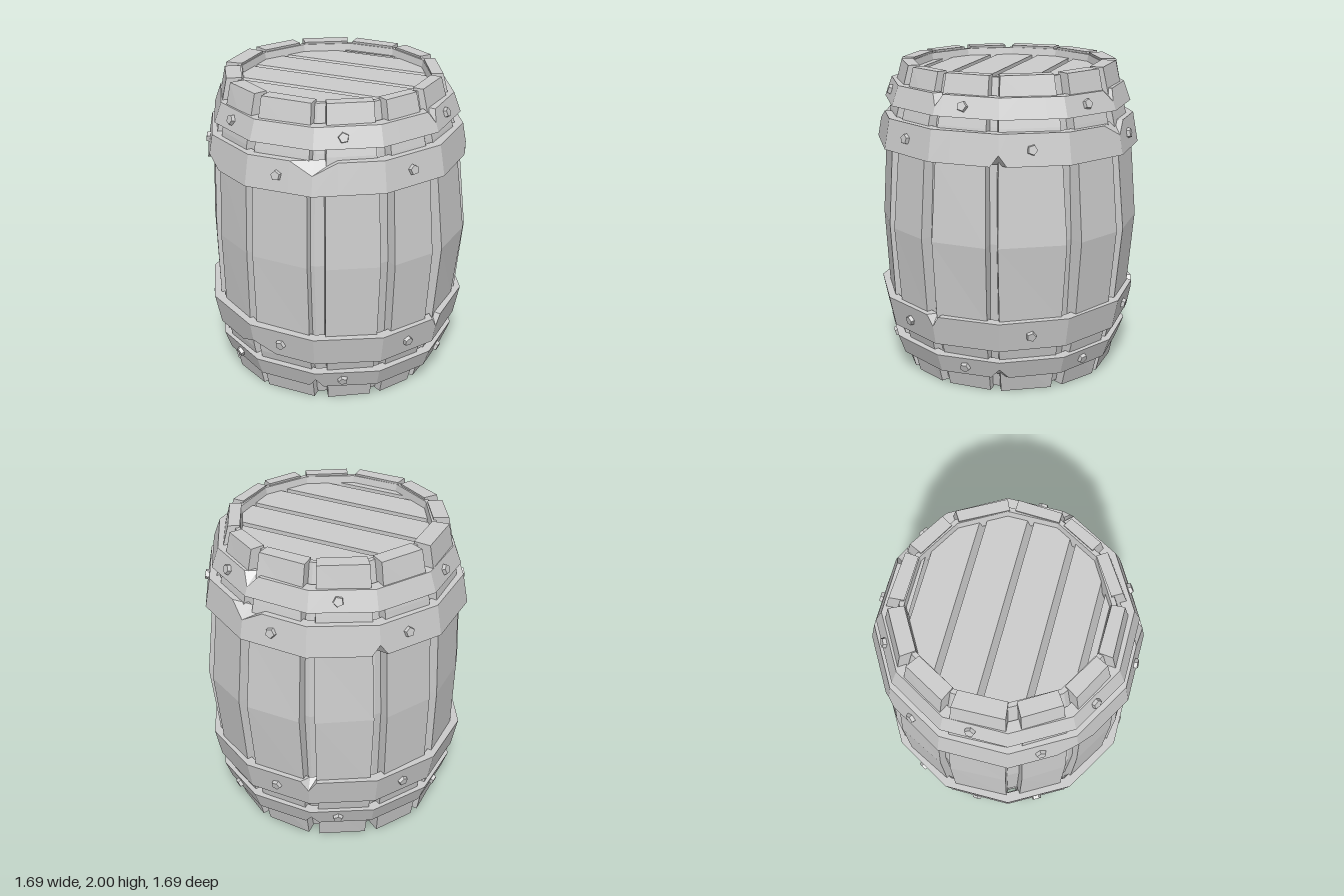
import * as THREE from 'three';

const wood = new THREE.MeshStandardMaterial({ color: 0xcccccc });
wood.name = 'pale grey';

// Seeded random in -1..1
let seed = 7;
const rnd = () => {
  seed = (seed * 16807) % 2147483647;
  return (seed / 2147483647) * 2 - 1;
};

const polar = (deg, r, y) => {
  const a = THREE.MathUtils.degToRad(deg);
  return new THREE.Vector3(Math.sin(a) * r, y, Math.cos(a) * r);
};

// Flat-faceted copy of a geometry
function facet(g) {
  const f = g.index ? g.toNonIndexed() : g;
  f.computeVertexNormals();
  return f;
}

function addMesh(parent, name, geometry) {
  const m = new THREE.Mesh(facet(geometry), wood);
  m.name = name;
  parent.add(m);
}

// Skin closed four-point sections, either into a ring or with capped ends
function loft(sections, ring) {
  const pos = [];
  const tri = (...p) => p.forEach((v) => pos.push(v.x, v.y, v.z));
  const n = sections.length;
  for (let k = 0; k < (ring ? n : n - 1); k++) {
    const A = sections[k], B = sections[(k + 1) % n];
    for (let j = 0; j < 4; j++) {
      const i = (j + 1) % 4;
      tri(A[j], B[j], B[i]);
      tri(A[j], B[i], A[i]);
    }
  }
  if (!ring) {
    const s = sections[0], e = sections[n - 1];
    tri(s[0], s[1], s[2]); tri(s[0], s[2], s[3]);
    tri(e[2], e[1], e[0]); tri(e[3], e[2], e[0]);
  }
  const g = new THREE.BufferGeometry();
  g.setAttribute('position', new THREE.Float32BufferAttribute(pos, 3));
  return g;
}

// Edges of the twelve uneven grooves, in degrees round from the front
const grooves = [[-4, 0], [27.5, 35], [58.5, 65], [85, 90.5], [114.5, 120], [148, 155],
  [177, 182], [207, 213], [238, 244], [268, 273], [299, 306], [327, 333.5]];

// One curved stave between two grooves; the barrel bulges most at the back and left
function staveGeometry(a0, a1) {
  // height, radius, and how far the radius leans with x and with z
  const profile = [[0, 0.685, -0.018, 0], [0.3, 0.755, -0.005, 0], [0.5, 0.792, 0, -0.008], [1, 0.825, 0.012, -0.022],
    [1.5, 0.792, 0, -0.008], [1.7, 0.755, -0.005, 0], [2, 0.685, -0.018, 0]];
  return loft(profile.map(([y, r, dx, dz]) => {
    const outer = (deg) => {
      const d = polar(deg, 1, 0);
      return polar(deg, r + dx * d.x + dz * d.z + rnd() * 0.005, y);
    };
    const l = a0 + rnd() * 0.4, q = a1 + rnd() * 0.4;
    return [outer(q), outer(l), polar(l - 1.2, r - 0.085, y), polar(q + 1.2, r - 0.085, y)];
  }), false);
}

// Twelve-sided hoop; chips map a corner number to [edge, share of the side it takes]
function hoopGeometry({ y0, r0, y1, r1, tilt, chips }) {
  const corner = (k) => {
    const d = k * 30;
    const c = [polar(d, r0, y0), polar(d, r1, y1), polar(d, r1 - 0.07, y1), polar(d, r0 - 0.07, y0)];
    c.forEach((p) => { p.y += tilt * p.x; });
    return c;
  };
  const sections = [];
  for (let k = 0; k < 12; k++) {
    const a = corner(k), b = corner(k + 1);
    const chip = chips[k], next = chips[(k + 1) % 12];
    const first = corner(k);
    if (chip) {
      const low = chip[0] === 'bottom' ? 0 : 1;
      first[low].lerp(a[1 - low], 0.07 / (y1 - y0));
    }
    sections.push(first);
    for (const t of [chip ? chip[1] : 0.3, 1 - (next ? next[1] : 0.3)]) {
      sections.push(a.map((p, i) => p.clone().lerp(b[i], t)));
    }
  }
  return loft(sections, true);
}

// One head plank, cut to the round, with a sloping long edge
function plankGeometry(v0, v1) {
  const R = 0.62, N = 6, pts = [];
  const half = (v) => Math.sqrt(Math.max(R * R - v * v, 0.0004));
  for (let i = 0; i <= N; i++) {
    const v = v0 + ((v1 - v0) * i) / N;
    pts.push(new THREE.Vector2(half(v), v));
  }
  for (let i = N; i >= 0; i--) pts.push(new THREE.Vector2(-pts[i].x, pts[i].y));
  const g = new THREE.ExtrudeGeometry(new THREE.Shape(pts), { depth: 0.09, bevelEnabled: false });
  const p = g.attributes.position;
  for (let i = 0; i < p.count; i++) {
    if (p.getZ(i) > 0.05 && Math.abs(p.getY(i) - v0) < 1e-4) p.setY(i, v0 + 0.04);
  }
  return g.rotateX(-Math.PI / 2);
}

export function createModel() {
  const model = new THREE.Group();
  model.name = 'barrel';

  // Inner shell that forms the floor of the grooves
  const shell = [[0.585, 0.1], [0.6, 0.015], [0.63, 0.015], [0.7, 0.3], [0.738, 0.5], [0.77, 1],
    [0.738, 1.5], [0.7, 1.7], [0.63, 1.985], [0.6, 1.985], [0.585, 1.9]];
  addMesh(model, 'innerShell', new THREE.LatheGeometry(shell.map(([r, y]) => new THREE.Vector2(r, y)), 12));

  // Staves
  const staves = new THREE.Group();
  staves.name = 'staves';
  grooves.forEach(([, start], k) => {
    const end = k < 11 ? grooves[k + 1][0] : grooves[0][0] + 360;
    addMesh(staves, 'stave', staveGeometry(start, end));
  });
  model.add(staves);

  // Planked heads at both ends
  const cuts = [-0.61, -0.53, -0.285, -0.01, 0.265, 0.53, 0.61];
  for (const top of [true, false]) {
    const head = new THREE.Group();
    head.name = top ? 'topHead' : 'bottomHead';
    for (let i = 0; i < cuts.length - 1; i++) {
      const g = plankGeometry(cuts[i], cuts[i + 1]).translate(0, 0.85, 0);
      if (!top) g.rotateX(Math.PI);
      addMesh(head, 'headPlank', g.rotateY(Math.PI / 12));
    }
    head.position.y = 1;
    model.add(head);
  }

  // Slightly crooked hoops with their rivets
  const hoops = [
    { name: 'lowerEndHoop', y0: 0.125, r0: 0.745, y1: 0.25, r1: 0.79, start: 43, tilt: -0.01,
      chips: { 1: ['bottom', 0.12], 4: ['bottom', 0.15], 7: ['bottom', 0.12] } },
    { name: 'lowerWideHoop', y0: 0.335, r0: 0.805, y1: 0.53, r1: 0.845, start: 14, tilt: -0.015,
      chips: { 0: ['bottom', 0.35], 3: ['top', 0.1], 7: ['top', 0.12] } },
    { name: 'upperWideHoop', y0: 1.48, r0: 0.845, y1: 1.672, r1: 0.81, start: 14, tilt: 0.018,
      chips: { 1: ['top', 0.35], 4: ['bottom', 0.12], 6: ['top', 0.3], 8: ['bottom', 0.12], 11: ['bottom', 0.3] } },
    { name: 'upperEndHoop', y0: 1.748, r0: 0.79, y1: 1.872, r1: 0.745, start: 43, tilt: 0.018,
      chips: { 3: ['top', 0.1], 6: ['top', 0.15] } },
  ];
  for (const h of hoops) {
    const hoop = new THREE.Group();
    hoop.name = h.name;
    addMesh(hoop, 'band', hoopGeometry(h));
    const reach = ((h.r0 + h.r1) / 2) * Math.cos(Math.PI / 12);
    const lean = Math.atan2(h.r1 - h.r0, h.y1 - h.y0);
    for (let k = 0; k < 6; k++) {
      const deg = h.start + k * 60;
      const y = (h.y0 + h.y1) / 2 + h.tilt * polar(deg, reach, 0).x;
      const g = new THREE.CylinderGeometry(0.03, 0.038, 0.045, 5)
        .rotateX(Math.PI / 2).rotateZ(rnd()).rotateX(lean)
        .translate(0, y, reach)
        .rotateY(THREE.MathUtils.degToRad(deg));
      addMesh(hoop, 'rivet', g);
    }
    model.add(hoop);
  }
  return model;
}
